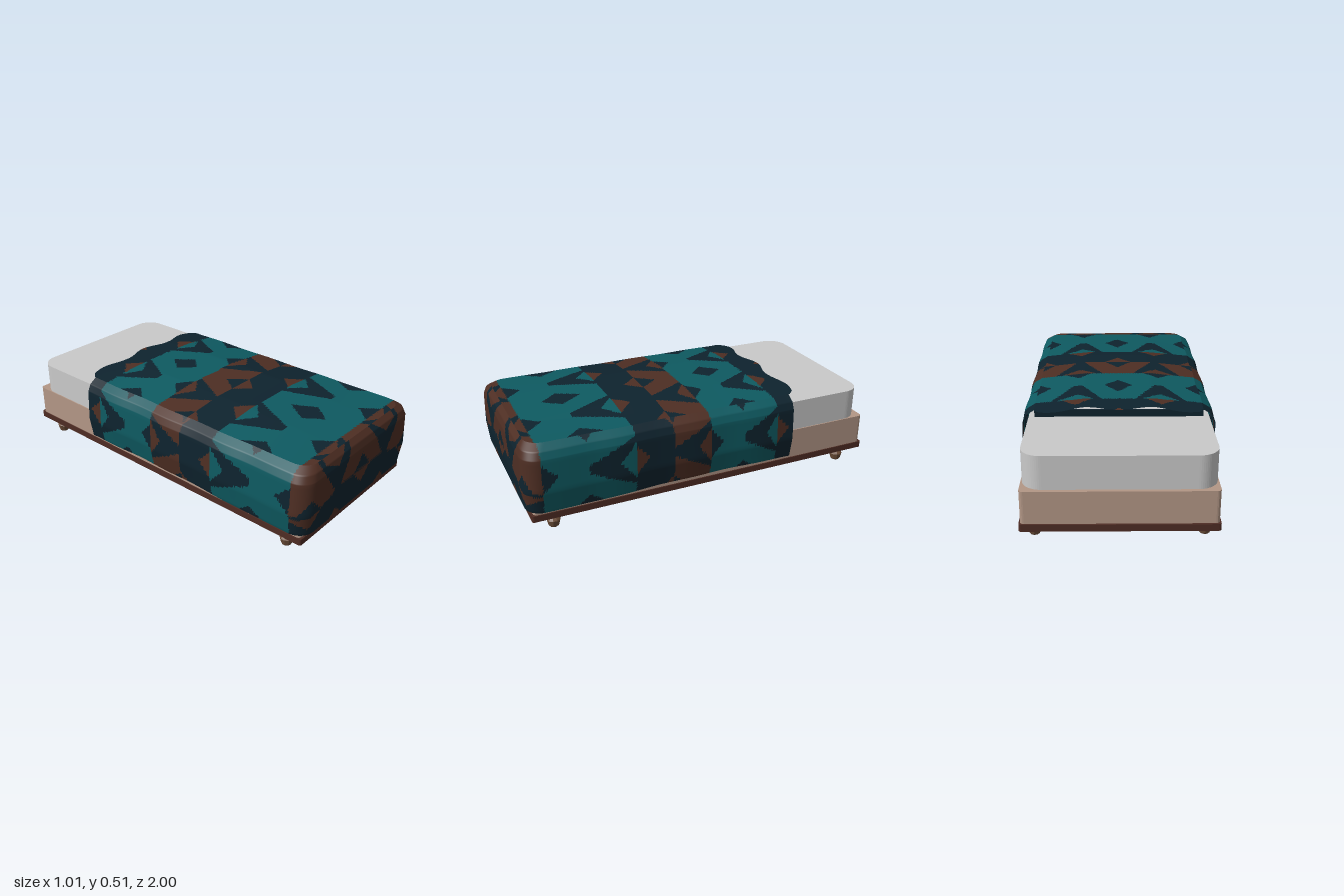
import * as THREE from 'three';

const mat = (name, color, side = THREE.FrontSide) => {
  const m = new THREE.MeshStandardMaterial({ color, side });
  m.name = name;
  return m;
};

// Rounded slab lying flat, from y0 to y1 and z0 to z1
function slab(name, halfX, z0, z1, y0, y1, r, material) {
  const h = (z1 - z0) / 2, w = halfX, s = new THREE.Shape();
  s.moveTo(-w + r, -h);
  s.lineTo(w - r, -h);
  s.absarc(w - r, -h + r, r, -Math.PI / 2, 0);
  s.absarc(w - r, h - r, r, 0, Math.PI / 2);
  s.absarc(-w + r, h - r, r, Math.PI / 2, Math.PI);
  s.absarc(-w + r, -h + r, r, Math.PI, Math.PI * 1.5);
  const g = new THREE.ExtrudeGeometry(s, { depth: y1 - y0, bevelEnabled: false, curveSegments: r > 0.05 ? 8 : 2 });
  g.rotateX(-Math.PI / 2);
  g.translate(0, y0, (z0 + z1) / 2);
  const mesh = new THREE.Mesh(g, material);
  mesh.name = name;
  return mesh;
}

// Woven pattern: 0 navy, 1 teal, 2 brown; u runs across, w along the blanket
const bands = [-0.82, -0.4, 0, 0.42, 0.91, 1.29];
function pattern(u, w) {
  let k = 0;
  while (k < 4 && w >= bands[k + 1]) k++;
  const colour = k % 2 ? 1 : 2;
  const q = (w - bands[k]) / (bands[k + 1] - bands[k]);
  const p = Math.abs(u / 0.44 - Math.round(u / 0.44)) * 2;
  if (q < 0.5) { // chevrons with a small triangle cut out, wedges between
    const chevron = p < 0.4 + q && !(q > 0.26 && p < (q - 0.26) * 1.4);
    const wedge = 1 - p < 0.45 * (1 - q / 0.17);
    return chevron || wedge ? colour : 0;
  }
  const motif = p < 0.35 * (1 - (q - 0.5) / 0.2) || 1 - p < 0.35 * (q - 0.82) / 0.18;
  return colour === 1 ? (motif ? 0 : 1) : (motif ? 2 : 0);
}

// Grid surface whose faces are sorted into colour groups
function patternedGrid(name, ns, nt, point, colourAt, materials) {
  const pos = [], lists = materials.map(() => []);
  for (let i = 0; i <= ns; i++)
    for (let j = 0; j <= nt; j++) pos.push(...point(i, j / nt));
  const centre = (tri, k) => tri.reduce((sum, v) => sum + pos[v * 3 + k], 0) / 3;
  for (let i = 0; i < ns; i++)
    for (let j = 0; j < nt; j++) {
      const a = i * (nt + 1) + j, b = a + nt + 1;
      for (const tri of [[a, b, b + 1], [a, b + 1, a + 1]])
        lists[colourAt(centre(tri, 0), centre(tri, 1), centre(tri, 2))].push(...tri);
    }
  const g = new THREE.BufferGeometry();
  g.setAttribute('position', new THREE.Float32BufferAttribute(pos, 3));
  g.setIndex(lists.flat());
  let start = 0;
  lists.forEach((l, k) => { g.addGroup(start, l.length, k); start += l.length; });
  g.computeVertexNormals();
  const mesh = new THREE.Mesh(g, materials);
  mesh.name = name;
  return mesh;
}

function blanket(materials) {
  const group = new THREE.Group();
  group.name = 'blanket';

  // Plan outline: left side, foot, right side
  const X = 0.503, Z = 0.995, r = 0.09, H = -0.5, N = 392;
  const path = new THREE.Path();
  path.moveTo(-X, H);
  path.lineTo(-X, Z - r);
  path.absarc(-X + r, Z - r, r, Math.PI, Math.PI / 2, true);
  path.lineTo(X - r, Z);
  path.absarc(X - r, Z - r, r, Math.PI / 2, 0, true);
  path.lineTo(X, H);
  const plan = path.getSpacedPoints(N);

  // Skirt profile: height and inset from the outline
  const levels = [[0.14, 0.04], [0.128, 0.02], [0.25, 0], [0.42, 0.008], [0.46, 0.027], [0.487, 0.07]];
  const place = (i, y, inset) => {
    const { x, y: z } = plan[i];
    const side = THREE.MathUtils.clamp((0.9 - z) / 0.3, 0, 1);
    const low = THREE.MathUtils.clamp((0.3 - y) / 0.15, 0, 1);
    const ripple = 1 + 0.006 * side * Math.sin(z * 16);
    return [x * ripple * (1 - inset / X), y + 0.013 * side * low * Math.max(0, Math.cos(z * 2.5)),
      H + (z - H) * (1 - 0.4 * inset)];
  };
  const per = 8;
  const skirtPoint = (i, t) => {
    const f = t * (levels.length - 1), k = Math.min(levels.length - 2, Math.floor(f + 1e-6)), m = f - k;
    const mix = c => levels[k][c] + (levels[k + 1][c] - levels[k][c]) * m;
    return place(i, mix(0), mix(1));
  };
  const skirtColour = (x, y, z) => {
    if (z < 0.905) return pattern(0.5 + 0.48 - y, z);
    const shear = Math.max(0, Math.abs(x) - 0.2) * 0.25;
    return pattern(x, Math.max(0.911, 0.91 + 0.49 - y - shear));
  };
  group.add(patternedGrid('blanketSkirt', N, (levels.length - 1) * per, skirtPoint, skirtColour, materials));

  // Domed top with a wavy edge at the head
  const topPoint = (i, t) => {
    const [x0, y0, z] = place(i, 0.487, 0.07);
    const x = x0 * (1 - 2 * t), e = Math.abs(2 * t - 1);
    const fall = THREE.MathUtils.clamp((0.95 - z) / 0.6, 0, 1);
    const dome = 0.028 * fall * Math.min(1, (1 - e) / 0.58) * (z < -0.2 ? 1 + (z + 0.2) * 0.8 : 1);
    const head = Math.max(0, 1 - (z - H) / 0.15);
    const wave = (0.035 + 0.02 * Math.cos(x * Math.PI * 2 / 0.33)) * Math.min(1, (1 - e) / 0.08 + 0.25);
    return [x, y0 + dome, z - wave * head];
  };
  // Rows run along the left half of the outline, columns run across
  group.add(patternedGrid('blanketTop', N / 2, 94, topPoint, (x, y, z) => pattern(x, z), materials));

  // Fold that closes the head end
  for (const [w, y0, y1] of [[0.95, 0.15, 0.45], [0.86, 0.45, 0.488]]) {
    const fold = new THREE.Mesh(new THREE.BoxGeometry(w, y1 - y0, 0.008), materials[0]);
    fold.position.set(0, (y0 + y1) / 2, -0.494);
    fold.name = 'blanketFold';
    group.add(fold);
  }
  return group;
}

export function createModel() {
  const model = new THREE.Group();
  model.name = 'bed';
  const weave = [
    mat('navyCloth', 0x0e232e, THREE.DoubleSide),
    mat('tealCloth', 0x0e5a61, THREE.DoubleSide),
    mat('brownCloth', 0x4e2e23, THREE.DoubleSide),
  ];
  const plankWood = mat('darkWood', 0x4e2c24);
  const legWood = mat('legWood', 0x6c4d38);

  model.add(slab('basePlank', 0.472, -1, 0.965, 0.078, 0.113, 0.012, plankWood));
  model.add(slab('boxSpring', 0.466, -0.99, 0.955, 0.113, 0.28, 0.02, mat('beigeFabric', 0xb39786)));
  model.add(slab('mattress', 0.46, -0.97, 0.93, 0.28, 0.45, 0.1, mat('whiteFabric', 0xcacaca)));

  // Turned feet
  const profile = [[0, 0], [0.024, 0], [0.028, 0.006], [0.036, 0.038], [0.032, 0.043], [0.018, 0.055],
    [0.028, 0.066], [0.03, 0.08]].map(p => new THREE.Vector2(...p));
  const legGeo = new THREE.LatheGeometry(profile, 10).toNonIndexed();
  legGeo.computeVertexNormals();
  for (const x of [-0.41, 0.41])
    for (const z of [0.845, -0.875]) {
      const leg = new THREE.Mesh(legGeo, legWood);
      leg.position.set(x, 0, z);
      leg.name = z > 0 ? 'frontLeg' : 'backLeg';
      model.add(leg);
    }

  model.add(blanket(weave));
  return model;
}
